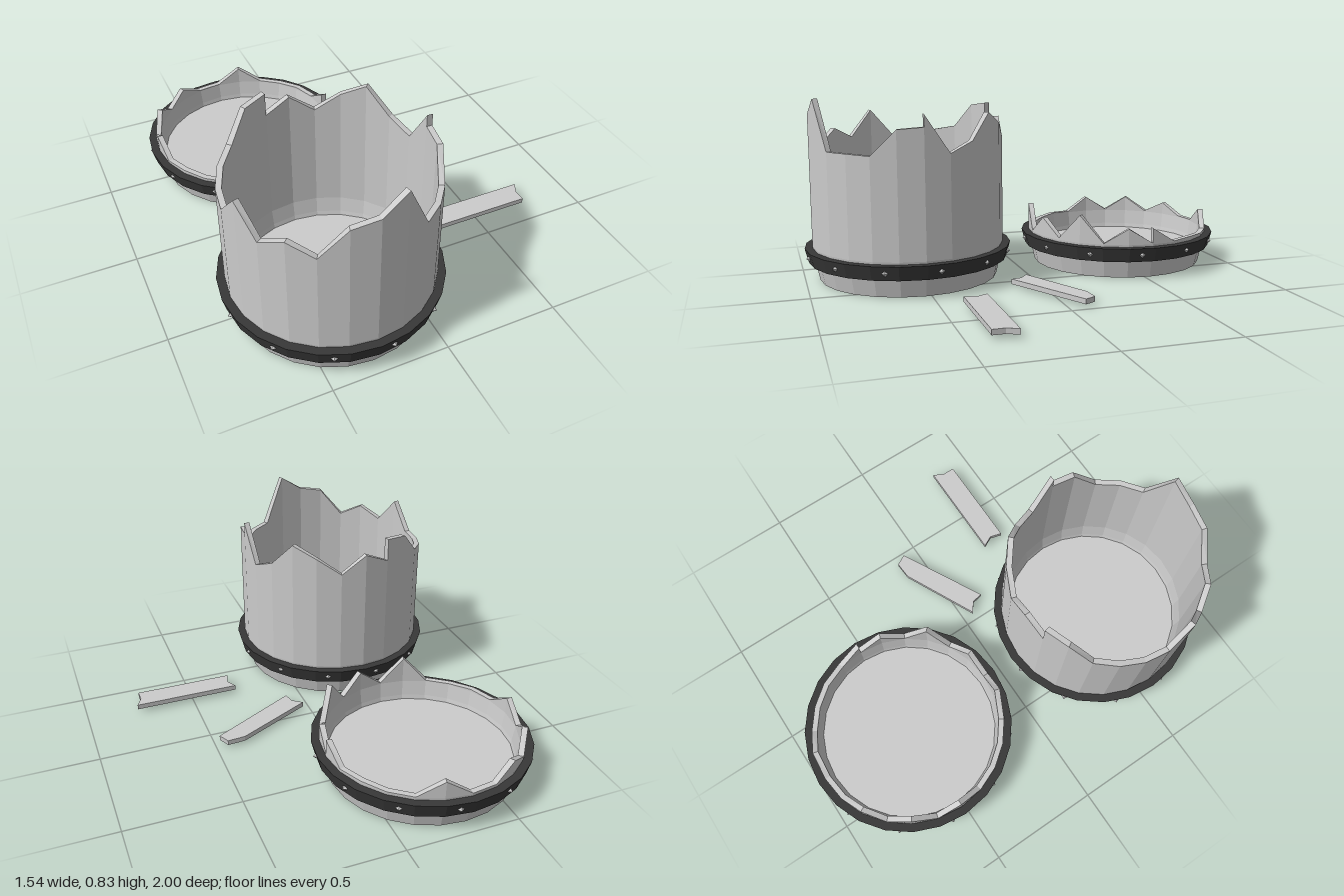
import * as THREE from 'three';

const SIDES = 24, STEP = (Math.PI * 2) / SIDES;
const wood = new THREE.MeshStandardMaterial({ color: 0xcccccc, flatShading: true });
const iron = new THREE.MeshStandardMaterial({ color: 0x383838, flatShading: true });

function add(parent, name, geometry, material = wood) {
  const mesh = new THREE.Mesh(geometry, material);
  mesh.name = name;
  parent.add(mesh);
  return mesh;
}

// Joins two [radius, height] cross-sections, one at each angle, into a wedge.
// Each section runs up the outside, then down the inside.
function wedge(a0, a1, section0, section1, capped) {
  const place = (a) => ([r, y]) => [r * Math.sin(a), y, r * Math.cos(a)];
  const p = section0.map(place(a0)), q = section1.map(place(a1));
  const n = p.length, out = [];
  const quad = (a, b, c, d) => out.push(...a, ...b, ...c, ...a, ...c, ...d);
  for (let i = 0; i < n; i++) {
    const j = (i + 1) % n;
    quad(p[i], q[i], q[j], p[j]);
  }
  if (capped) {
    for (let i = 0; i < n / 2 - 1; i++) {
      quad(p[n - 1 - i], p[i], p[i + 1], p[n - 2 - i]);
      quad(q[i], q[n - 1 - i], q[n - 2 - i], q[i + 1]);
    }
  }
  const geometry = new THREE.BufferGeometry();
  geometry.setAttribute('position', new THREE.Float32BufferAttribute(out, 3));
  geometry.computeVertexNormals();
  return geometry;
}

const staveSection = (h) => [
  [0.41, 0], [0.43, 0.09], [0.44, 0.16], [0.44, h],
  [0.415, h], [0.415, 0.16], [0.405, 0.09], [0.385, 0],
];
const hoopSection = [[0.458, 0.085], [0.475, 0.15], [0.43, 0.15], [0.42, 0.085]];

// heights: broken top edge every 15 degrees, starting at the front and turning to +x.
// A pair [end, start] makes a step between neighbouring staves.
function brokenBarrel(name, z, heights, rivetOffset) {
  const barrel = new THREE.Group();
  barrel.name = name;
  barrel.position.set(-0.295, 0, z);
  const at = (i, side) => [heights[i % SIDES]].flat().at(side);
  for (let i = 0; i < SIDES; i++) {
    const a0 = i * STEP, a1 = a0 + STEP;
    add(barrel, 'stave', wedge(a0, a1, staveSection(at(i, -1)), staveSection(at(i + 1, 0)), true));
    add(barrel, 'hoopSegment', wedge(a0, a1, hoopSection, hoopSection, false), iron);
  }
  // Raised floor inside the staves
  add(barrel, 'floor', new THREE.CylinderGeometry(0.402, 0.395, 0.04, SIDES)).position.y = 0.05;
  // Pointed rivets around the hoop
  for (let k = 0; k < 12; k++) {
    const a = rivetOffset + k * STEP * 2;
    const rivet = add(barrel, 'rivet', new THREE.OctahedronGeometry(0.014));
    rivet.position.set(0.463 * Math.sin(a), 0.118, 0.463 * Math.cos(a));
    rivet.rotation.y = a;
  }
  return barrel;
}

// Loose plank from an [x, z] outline
function plank(parent, name, outline, y) {
  const shape = new THREE.Shape(outline.map(([x, z]) => new THREE.Vector2(x, -z)));
  const geometry = new THREE.ExtrudeGeometry(shape, { depth: 0.023, bevelEnabled: false });
  geometry.rotateX(-Math.PI / 2);
  add(parent, name, geometry).position.y = y;
}

export function createModel() {
  const model = new THREE.Group();
  model.name = 'brokenBarrel';

  model.add(brokenBarrel('tallHalf', 0.525, [
    0.76, 0.835, 0.615, 0.615, 0.61, 0.722,
    [0.73, 0.785], 0.615, 0.66, 0.775, 0.72, 0.645,
    0.73, [0.68, 0.785], 0.77, 0.66, 0.64, 0.62,
    0.615, 0.74, 0.615, 0.665, 0.61, 0.74,
  ], STEP / 2));

  model.add(brokenBarrel('shortHalf', -0.525, [
    0.165, 0.25, 0.17, 0.29, 0.165, 0.235,
    [0.165, 0.235], 0.165, 0.17, 0.165, 0.165, 0.24,
    0.165, 0.165, 0.22, 0.165, 0.235, 0.165,
    0.235, 0.165, 0.17, 0.165, 0.165, 0.28,
  ], STEP * 1.5));

  plank(model, 'straightPlank', [
    [0.29, 0.3], [0.315, 0.35], [0.3, 0.405], [0.745, 0.405], [0.745, 0.35], [0.77, 0.3],
  ], 0.018);
  plank(model, 'angledPlank', [
    [0.03, 0.05], [0.075, 0.085], [0.085, 0.135], [0.475, -0.07], [0.45, -0.12], [0.37, -0.115],
  ], 0.013);
  return model;
}
